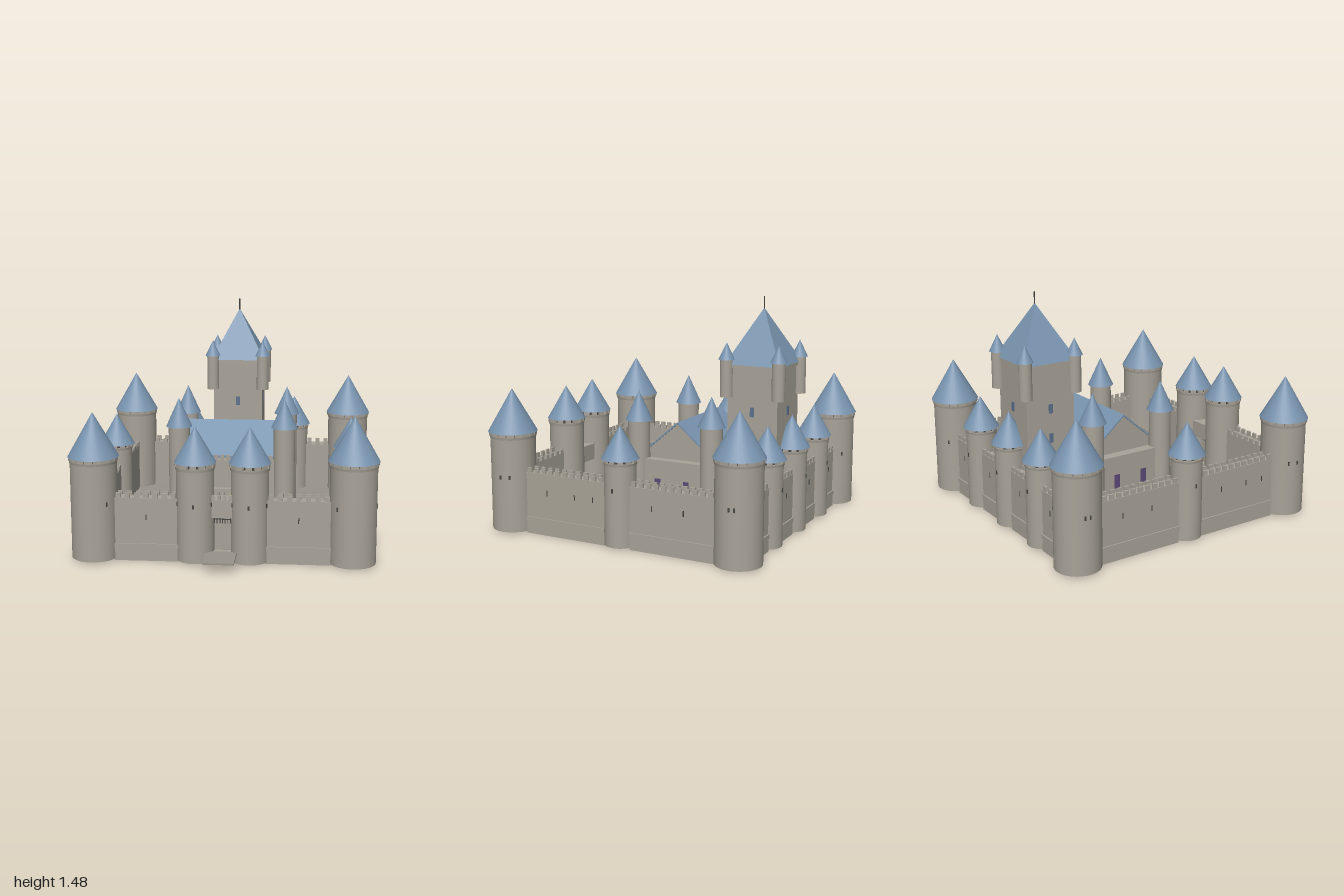
import * as THREE from 'three';
import { mergeGeometries } from 'three/addons/utils/BufferGeometryUtils.js';

const mat = (color, side = THREE.FrontSide) => new THREE.MeshStandardMaterial({ color, side });
const stone = mat(0xa8a398), shell = mat(0xa8a398, THREE.DoubleSide), paving = mat(0x989389);
const slate = mat(0x7893ae), dark = mat(0x45443f), glass = mat(0x5c708c), violet = mat(0x5b4a78);
const red = mat(0xb8564c), darkRed = mat(0x74352f), gold = mat(0xc2ad63);

// Box geometry from its centre in x and z and its bottom and top in y
function block(x, z, y0, y1, w, d) {
  return new THREE.BoxGeometry(w, y1 - y0, d).translate(x, (y0 + y1) / 2, z);
}
function add(parent, name, geometry, material = stone) {
  const mesh = new THREE.Mesh(geometry, material);
  mesh.name = name;
  parent.add(mesh);
  return mesh;
}
function group(parent, name, x = 0, z = 0, turn = 0) {
  const g = new THREE.Group();
  g.name = name;
  g.position.set(x, 0, z);
  g.rotation.y = turn;
  parent.add(g);
  return g;
}
const addAll = (parent, name, list, material = stone) => add(parent, name, mergeGeometries(list), material);

// Row of merlons along x
function merlonRow(x0, x1, z, y0, y1, size = 0.03, pitch = 0.053, depth = 0.014) {
  const n = Math.max(1, Math.round((x1 - x0) / pitch));
  const step = (x1 - x0) / n, out = [];
  for (let i = 0; i < n; i++) out.push(block(x0 + step * (i + 0.5), z, y0, y1, size, depth));
  return out;
}

// Round tower: hollow body, corbel ring, merlons and cone roof
function tower(parent, name, x, z, r, bodyTop, eaves, coneR, tip, slitAngles = [], crowned = true, bottom = 0.01) {
  const g = group(parent, name, x, z);
  const h = bodyTop - bottom;
  add(g, 'body', new THREE.CylinderGeometry(r, r, h, 32, 1, true).translate(0, bottom + h / 2, 0), shell);
  if (crowned) {
    const band = (eaves - bodyTop) * 0.45;
    add(g, 'corbelRing', new THREE.CylinderGeometry(r + 0.006, r + 0.003, band, 32).translate(0, bodyTop + band / 2, 0));
    add(g, 'neck', new THREE.CylinderGeometry(r - 0.01, r - 0.01, eaves - bodyTop, 32).translate(0, (eaves + bodyTop) / 2, 0), dark);
    const n = Math.round(r * 125), list = [];
    for (let i = 0; i < n; i++) {
      list.push(block(0, r, bodyTop + band, eaves, r * 0.33, 0.014).rotateY(i / n * Math.PI * 2));
    }
    addAll(g, 'merlons', list);
  }
  add(g, 'roof', new THREE.ConeGeometry(coneR, tip - eaves, 32).translate(0, (tip + eaves) / 2, 0), slate);
  for (const a of slitAngles) add(g, 'arrowSlit', block(0, r, 0.35, 0.375, 0.01, 0.006).rotateY(a), dark);
  return g;
}

// Curtain wall along local x with its outside toward local +z
function curtainWall(parent, x, z, length, turn, slits) {
  const g = group(parent, 'curtainWall', x, z, turn), e = length / 2;
  addAll(g, 'wallSkins', [block(0, 0.036, 0, 0.39, length, 0.014), block(0, -0.036, 0.03, 0.39, length, 0.014)]);
  add(g, 'wallWalk', block(0, 0, 0.37, 0.388, length, 0.07));
  add(g, 'plinth', block(0, 0.044, 0, 0.08, length, 0.006));
  add(g, 'ledge', block(0, 0.046, 0.08, 0.108, length, 0.012));
  add(g, 'coping', block(0, 0.043, 0.384, 0.392, length, 0.008));
  const ribs = [], n = Math.round(length / 0.08);
  for (let i = 0; i <= n; i++) ribs.push(block(-e + length * i / n, 0, 0.02, 0.37, 0.008, 0.06));
  addAll(g, 'ribs', ribs);
  addAll(g, 'merlons', [...merlonRow(-e, e, 0.037, 0.39, 0.422), ...merlonRow(-e, e, -0.037, 0.39, 0.415)]);
  for (const s of slits) add(g, 'arrowSlit', block(s, 0.043, 0.255, 0.29, 0.006, 0.004), dark);
}

function buildDefences(root) {
  const P = Math.PI;
  for (const s of [-1, 1]) {
    tower(root, 'frontCornerTower', s * 0.783, 0.72, 0.142, 0.6, 0.635, 0.155, 0.905, [s * P / 2, -s * 0.75, s * 2]);
    tower(root, 'backCornerTower', s * 0.783, -0.845, 0.142, 0.6, 0.635, 0.155, 0.905, [s * P / 2, P + s * 0.75, s * 1.8]);
    tower(root, 'sideTower', s * 0.785, -0.065, 0.098, 0.51, 0.543, 0.116, 0.745, [s * P / 2]);
    tower(root, 'backTower', s * 0.39, -0.85, 0.098, 0.51, 0.543, 0.116, 0.745, [P]);
    tower(root, 'gateTower', s * 0.165, 0.725, 0.115, 0.57, 0.612, 0.127, 0.83, [0, -s * 1.1, s * 1.1]);
    curtainWall(root, s * 0.46, 0.725, 0.39, 0, [0]);
    curtainWall(root, s * 0.79, 0.305, 0.57, s * P / 2, [-0.13, 0.07, 0.2]);
    curtainWall(root, s * 0.79, -0.435, 0.56, s * P / 2, [-0.13, 0.08]);
    curtainWall(root, s * 0.195, -0.855, 0.21, P, [0]);
    curtainWall(root, s * 0.565, -0.855, 0.18, P, [0]);
  }
  tower(root, 'backTower', 0, -0.85, 0.098, 0.51, 0.543, 0.116, 0.745, [P]);

  // Gate between the two front towers
  const gate = group(root, 'gate');
  add(gate, 'gateLintel', block(0, 0.715, 0.28, 0.39, 0.15, 0.12));
  addAll(gate, 'gateMerlons', merlonRow(-0.07, 0.07, 0.768, 0.39, 0.42, 0.022, 0.04));
  const bars = [block(0, 0.73, 0.258, 0.263, 0.12, 0.005)];
  for (let i = -3; i <= 3; i++) bars.push(block(i * 0.016, 0.73, 0.235, 0.285, 0.005, 0.005));
  addAll(gate, 'portcullis', bars, dark);
  add(gate, 'threshold', block(0, 0.74, 0.02, 0.065, 0.11, 0.08));
  add(gate, 'drawbridge', block(-0.003, 0.89, 0.063, 0.073, 0.186, 0.22), paving);
}

// Great hall with gabled roof, wall walk and four corner turrets
function buildHall(root) {
  const g = group(root, 'greatHall');
  const x = 0.36, zf = 0.055, zb = -0.465, zm = (zf + zb) / 2, d = zf - zb, t = 0.045;
  const list = [block(0, zb, 0.02, 0.47, 2 * x, t), block(0, zf, 0.25, 0.47, 2 * x, t), block(0, zf, 0.02, 0.07, 2 * x, t)];
  for (const s of [-1, 1]) {
    list.push(block(s * x, zm, 0.02, 0.45, t, d), block(s * 0.205, zf, 0.07, 0.25, 0.31, t));
  }
  addAll(g, 'hallWalls', list);
  add(g, 'wallWalk', block(0, zm, 0.43, 0.446, 2 * x, d));
  addAll(g, 'hallMerlons', [
    ...merlonRow(-0.28, 0.28, zf + 0.014, 0.47, 0.505, 0.022, 0.04),
    ...merlonRow(-0.28, 0.28, zb - 0.014, 0.47, 0.505, 0.022, 0.04),
  ]);
  // Gable ends in stone, roof slopes in slate
  const hw = 0.315, ridge = 0.69, eave = 0.49, half = 0.235;
  const gable = new THREE.Shape([[-half, 0.44], [half, 0.44], [half, eave - 0.004], [0, ridge - 0.006], [-half, eave - 0.004]]
    .map(p => new THREE.Vector2(...p)));
  add(g, 'gables', new THREE.ExtrudeGeometry(gable, { depth: 2 * hw - 0.02, bevelEnabled: false })
    .rotateY(Math.PI / 2).translate(-hw + 0.01, 0, zm));
  const slope = new THREE.Shape([[-half, eave], [0, ridge], [half, eave], [half, eave - 0.012], [0, ridge - 0.012], [-half, eave - 0.012]]
    .map(p => new THREE.Vector2(...p)));
  add(g, 'hallRoof', new THREE.ExtrudeGeometry(slope, { depth: 2 * hw, bevelEnabled: false })
    .rotateY(Math.PI / 2).translate(-hw, 0, zm), slate);
  for (const s of [-1, 1]) {
    for (const z of [0.053, -0.458]) tower(g, 'hallTurret', s * 0.347, z, 0.07, 0.69, 0.69, 0.086, 0.88, [], false, 0.03);
    add(g, 'frontWindow', block(s * 0.17, zf + t / 2, 0.24, 0.31, 0.045, 0.006), violet);
    for (const z of [-0.3, -0.1]) add(g, 'sideWindow', block(s * (x + t / 2), z, 0.24, 0.33, 0.006, 0.04), violet);
    add(g, 'doorColumn', new THREE.CylinderGeometry(0.01, 0.01, 0.2, 12).translate(s * 0.085, 0.165, 0.1));
  }
  add(g, 'porch', block(0, 0.095, 0.262, 0.285, 0.225, 0.05));
  add(g, 'doorStep', block(0, 0.095, 0.065, 0.08, 0.225, 0.05));
  // Throne facing the doorway
  const throne = group(g, 'throne', 0, -0.2);
  add(throne, 'dais', block(0, 0.03, 0.065, 0.1, 0.16, 0.16));
  add(throne, 'carpet', block(0, 0.12, 0.07, 0.106, 0.08, 0.2), darkRed);
  add(throne, 'seat', block(0, 0.02, 0.1, 0.14, 0.06, 0.06), gold);
  add(throne, 'backrest', block(0, -0.015, 0.1, 0.23, 0.06, 0.014), gold);
  add(throne, 'cushion', block(0, -0.006, 0.15, 0.205, 0.04, 0.008), red);
}

// Tall square keep with hanging corner turrets and pyramid roof
function buildKeep(root) {
  const g = group(root, 'keep', 0, -0.65);
  add(g, 'keepBody', block(0, 0, 0.05, 1.045, 0.34, 0.335));
  add(g, 'cornice', block(0, 0, 1.04, 1.06, 0.36, 0.36));
  add(g, 'keepRoof', new THREE.ConeGeometry(0.185 * Math.SQRT2, 0.345, 4, 1).toNonIndexed()
    .rotateY(Math.PI / 4).translate(0, 1.2325, 0), new THREE.MeshStandardMaterial({ color: 0x7893ae, flatShading: true }));
  add(g, 'mast', new THREE.CylinderGeometry(0.004, 0.004, 0.09, 8).translate(0, 1.43, 0), dark);
  for (const sx of [-1, 1]) for (const sz of [-1, 1]) {
    const turret = tower(g, 'keepTurret', sx * 0.174, sz * 0.174, 0.041, 1.09, 1.09, 0.052, 1.197, [], false, 0.855);
    add(turret, 'turretBase', new THREE.CylinderGeometry(0.041, 0.041, 0.008, 32).translate(0, 0.859, 0));
  }
  for (const y of [0.42, 0.58, 0.77]) for (let i = 0; i < 4; i++) {
    add(g, 'keepWindow', block(0, 0.1685, y - 0.03, y + 0.03, 0.028, 0.008).rotateY(i * Math.PI / 2), glass);
  }
}

function buildCourtyard(root) {
  add(root, 'courtyard', block(0, -0.065, 0.055, 0.067, 1.56, 1.57), paving);
  // Two flat-topped outbuildings
  for (const [x, z, d, s] of [[-0.505, 0.303, 0.275, 1], [0.505, 0.255, 0.22, -1]]) {
    const hut = group(root, 'outbuilding', x, z);
    add(hut, 'hutBody', block(0, 0, 0.06, 0.2, 0.17, d));
    for (const k of [-1, 1]) {
      add(hut, 'hutFooting', block(k * 0.075, 0, 0.03, 0.06, 0.02, d));
      add(hut, 'hutFooting', block(0, k * (d / 2 - 0.01), 0.03, 0.06, 0.17, 0.02));
    }
    add(hut, 'hutDoor', block(s * 0.085, 0, 0.067, 0.14, 0.008, 0.05), dark);
    add(hut, 'roofCloth', block(0, 0, 0.2, 0.204, 0.052, 0.072), red);
    add(hut, 'chimney', block(-s * 0.037, -s * (d / 2 - 0.02), 0.2, 0.215, 0.042, 0.016));
  }
  // Market stall with two-tone awning
  const stall = group(root, 'marketStall', -0.187, 0.44);
  for (const s of [-1, 1]) {
    for (const k of [-1, 1]) add(stall, 'stallPost', block(s * 0.038, k * 0.03, 0.067, 0.14, 0.006, 0.006), dark);
    const awning = add(stall, 'awning', new THREE.BoxGeometry(0.092, 0.005, 0.046), s < 0 ? red : darkRed);
    awning.position.set(0, 0.15, s * 0.02);
    awning.rotation.x = s * 0.5;
  }
  add(stall, 'counter', block(0, 0.02, 0.067, 0.1, 0.076, 0.025));
  // Posts along the path, crate and barrels
  for (const x of [-0.163, 0.16]) for (const z of [0.163, 0.302]) {
    add(root, 'pathPost', new THREE.CylinderGeometry(0.012, 0.012, 0.08, 12).translate(x, 0.107, z), dark);
  }
  add(root, 'crate', block(0.55, -0.112, 0.067, 0.11, 0.046, 0.046), gold);
  for (const z of [0.02, 0.06]) {
    add(root, 'barrel', new THREE.CylinderGeometry(0.014, 0.014, 0.04, 12).translate(0.445, 0.087, z), gold);
  }
}

export function createModel() {
  const root = new THREE.Group();
  root.name = 'castle';
  buildCourtyard(root);
  buildDefences(root);
  buildHall(root);
  buildKeep(root);
  return root;
}
